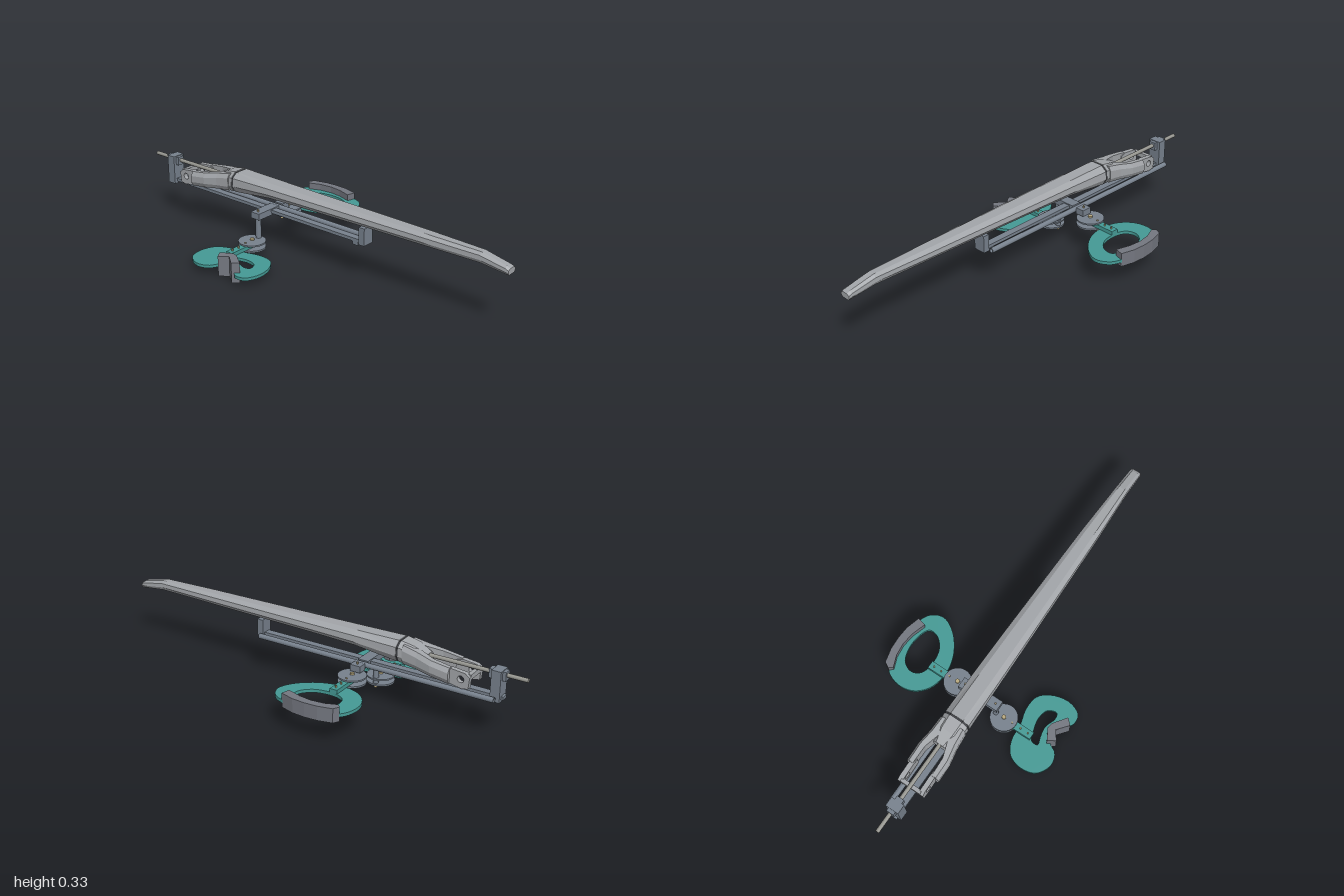
import * as THREE from 'three';

const mat = (name, color) => {
  const m = new THREE.MeshStandardMaterial({ color });
  m.name = name;
  return m;
};

export function createModel() {
  const shell = mat('light grey shell', 0xa2a5a9);
  const steel = mat('blue grey steel', 0x77818d);
  const teal = mat('teal plate', 0x459a95);
  const brass = mat('brass', 0xb9aa80);
  const padGrey = mat('dark grey pad', 0x747780);
  const rodGrey = mat('warm grey rod', 0x969690);
  const dark = mat('dark seam', 0x3c3e42);

  const model = new THREE.Group();
  model.name = 'model';
  const C = -0.027; // centre line of the long body
  const Z = -0.26;  // line of the side arms

  const add = (name, geo, material, x = 0, y = 0, z = 0) => {
    const m = new THREE.Mesh(geo, material);
    m.name = name;
    m.position.set(x, y, z);
    model.add(m);
    return m;
  };
  // box given by its limits
  const box = (name, material, x0, x1, y0, y1, z0, z1) =>
    add(name, new THREE.BoxGeometry(x1 - x0, y1 - y0, z1 - z0), material,
      (x0 + x1) / 2, (y0 + y1) / 2, (z0 + z1) / 2);
  const post = (name, material, x, z, r, y0, y1, n = 16) =>
    add(name, new THREE.CylinderGeometry(r, r, y1 - y0, n), material, x, (y0 + y1) / 2, z);

  // loft through counter-clockwise sections, ordered from front to back
  const loft = (stations) => {
    const n = stations[0].pts.length, pos = [], idx = [];
    stations.forEach(s => s.pts.forEach(p => pos.push(p[0], p[1], s.z)));
    for (let i = 0; i < stations.length - 1; i++) for (let j = 0; j < n; j++) {
      const a = i * n + j, b = i * n + (j + 1) % n;
      idx.push(a, a + n, b, b, a + n, b + n);
    }
    const last = (stations.length - 1) * n;
    for (let j = 1; j < n - 1; j++) idx.push(0, j, j + 1, last, last + j + 1, last + j);
    let g = new THREE.BufferGeometry();
    g.setAttribute('position', new THREE.Float32BufferAttribute(pos, 3));
    g.setIndex(idx);
    g = g.toNonIndexed();
    g.computeVertexNormals();
    return g;
  };
  // arched section: half width w, bottom b, top t
  const arch = ([z, w, b, t]) => {
    const h = t - b;
    const half = [[0.75 * w, b], [w, b + 0.3 * h], [0.95 * w, b + 0.7 * h], [0.5 * w, t - 0.06 * h]];
    return { z, pts: [...half, ...half.slice().reverse().map(p => [-p[0], p[1]])] };
  };

  // long tapering body
  add('longBody', loft([
    [1, 0.026, 0.26, 0.288], [0.985, 0.027, 0.262, 0.297], [0.87, 0.029, 0.275, 0.322],
    [0.6, 0.041, 0.275, 0.326], [0, 0.056, 0.27, 0.331], [-0.22, 0.06, 0.265, 0.334],
    [-0.43, 0.062, 0.243, 0.339]].map(arch)), shell, C);
  add('bodySeam', loft([[-0.43, 0.06, 0.246, 0.336], [-0.44, 0.06, 0.246, 0.336]].map(arch)), dark, C);
  add('rearBody', loft([[-0.44, 0.062, 0.243, 0.34], [-0.5, 0.058, 0.24, 0.328],
    [-0.56, 0.035, 0.24, 0.3]].map(arch)), shell, C);

  // rear fork: two flared arms, each ending in a pierced lug
  const lug = new THREE.Shape([[0.66, 0.222], [0.74, 0.207], [0.77, 0.212], [0.775, 0.262],
    [0.755, 0.278], [0.69, 0.285], [0.66, 0.275]].map(p => new THREE.Vector2(...p)));
  lug.holes.push(new THREE.Path().absarc(0.735, 0.248, 0.015, 0, Math.PI * 2, true));
  for (const s of [1, -1]) {
    const arm = [[-0.46, 0.02, 0.063, 0.243, 0.325], [-0.53, 0.022, 0.068, 0.236, 0.312],
      [-0.6, 0.045, 0.08, 0.228, 0.298], [-0.685, 0.048, 0.08, 0.216, 0.286]];
    add(s > 0 ? 'leftForkArm' : 'rightForkArm', loft(arm.map(([z, i, o, b, t]) => {
      const pts = [[i, b], [o - 0.01, b], [o, b + 0.02], [o, t - 0.02], [o - 0.012, t], [i, t]]
        .map(p => [s * p[0], p[1]]);
      return { z, pts: s > 0 ? pts : pts.reverse() };
    })), shell, C);
    const g = new THREE.ExtrudeGeometry(lug, { depth: 0.022, bevelEnabled: false });
    g.rotateY(Math.PI / 2);
    add(s > 0 ? 'leftForkLug' : 'rightForkLug', g, shell, C + (s > 0 ? 0.042 : -0.064));
  }
  box('forkBridge', shell, C - 0.05, C + 0.05, 0.25, 0.272, -0.775, -0.757);

  // thin rod at the rear
  const rod = new THREE.CylinderGeometry(0.009, 0.009, 0.45, 16).rotateX(Math.PI / 2);
  add('rearRod', rod, rodGrey, C, 0.287, -0.775);

  // rail under the body with its end brackets
  box('rail', steel, C - 0.017, C + 0.017, 0.18, 0.195, -0.905, 0.3);
  const ring = new THREE.Shape().absarc(0, 0, 0.012, 0, Math.PI * 2);
  ring.holes.push(new THREE.Path().absarc(0, 0, 0.009, 0, Math.PI * 2, true));
  add('railTube', new THREE.ExtrudeGeometry(ring, { depth: 1.16, bevelEnabled: false, curveSegments: 16 }),
    steel, 0.021, 0.187, -0.88);
  box('frontBracket', steel, -0.055, 0.003, 0.178, 0.258, 0.275, 0.305);
  box('frontBracketFoot', steel, -0.045, -0.008, 0.166, 0.18, 0.235, 0.265);
  box('rearBracket', steel, -0.058, 0.005, 0.17, 0.308, -0.895, -0.852);
  box('rearBracketCap', steel, -0.045, -0.01, 0.265, 0.305, -0.91, -0.835);

  // cross bar, split to let the tube pass
  box('crossBar', steel, -0.125, 0.009, 0.17, 0.2, -0.285, -0.235);
  box('crossBarEnd', steel, 0.033, 0.075, 0.17, 0.2, -0.285, -0.235);

  // flat plate lying in x and z, from closed smooth outlines
  const outline = (pts) => new THREE.CatmullRomCurve3(
    pts.map(p => new THREE.Vector3(p[0], p[1], 0)), true).getPoints(56).slice(0, -1)
    .map(p => new THREE.Vector2(p.x, p.y));
  const plate = (name, material, shape, y0, y1) => {
    const g = new THREE.ExtrudeGeometry(shape, { depth: y1 - y0, bevelEnabled: false });
    g.rotateX(Math.PI / 2);
    return add(name, g, material, 0, y1, 0);
  };

  // side arms: post, hinge discs, tongue and bolts
  const sideArm = (side, s, y, px, dx) => {
    post(side + 'Post', steel, s * px, Z, 0.013, y, 0.2);
    post(side + 'LowerDisc', steel, s * dx, Z, 0.063, y, y + 0.008, 40);
    post(side + 'UpperDisc', steel, s * dx, Z, 0.063, y + 0.027, y + 0.034, 40);
    const x0 = s * (dx - 0.018), x1 = s * (dx + 0.148);
    box(side + 'Tongue', teal, Math.min(x0, x1), Math.max(x0, x1), y + 0.008, y + 0.026, Z - 0.018, Z + 0.018);
    const bolts = [[px, 0.21], [dx, y + 0.042], [dx + 0.044, y + 0.038],
      [dx + 0.088, y + 0.036], [dx + 0.126, y + 0.036]];
    bolts.forEach(([bx, top], i) => {
      post(side + 'Bolt', brass, s * bx, Z, 0.004, y - 0.01, top, 10);
      post(side + 'BoltHead', brass, s * bx, Z, 0.008, y - 0.014, y - 0.007, 12);
      if (i === 1) post(side + 'BoltKnob', brass, s * bx, Z, 0.01, top - 0.006, top + 0.001, 12);
    });
  };
  sideArm('left', 1, 0.132, 0.055, 0.097);
  sideArm('right', -1, 0.04, 0.104, 0.147);

  // left handle: open oval plate
  const oval = new THREE.Shape(outline([[0.168, -0.25], [0.185, -0.34], [0.235, -0.395], [0.3, -0.412],
    [0.375, -0.39], [0.415, -0.33], [0.428, -0.25], [0.42, -0.16], [0.39, -0.07], [0.33, -0.04],
    [0.255, -0.075], [0.19, -0.16]]));
  oval.holes.push(new THREE.Path(outline([[0.245, -0.27], [0.265, -0.315], [0.305, -0.33], [0.35, -0.305],
    [0.372, -0.24], [0.368, -0.17], [0.345, -0.125], [0.3, -0.13], [0.255, -0.18]])));
  plate('leftHandle', teal, oval, 0.125, 0.14);

  // right handle: bean-shaped plate
  const bean = new THREE.Shape(outline([[-0.435, -0.32], [-0.4, -0.385], [-0.33, -0.403], [-0.262, -0.38],
    [-0.228, -0.32], [-0.222, -0.245], [-0.202, -0.165], [-0.212, -0.09], [-0.27, -0.045], [-0.35, -0.032],
    [-0.41, -0.06], [-0.415, -0.11], [-0.38, -0.145], [-0.36, -0.19], [-0.375, -0.235], [-0.42, -0.265]]));
  bean.holes.push(new THREE.Path(outline([[-0.335, -0.275], [-0.305, -0.275], [-0.285, -0.23], [-0.272, -0.17],
    [-0.285, -0.12], [-0.325, -0.105], [-0.335, -0.13], [-0.318, -0.19], [-0.325, -0.235]])));
  plate('rightHandle', teal, bean, 0.033, 0.047);

  // grip pads
  const poly = (pts) => new THREE.Shape(pts.map(p => new THREE.Vector2(...p)));
  plate('leftPad', padGrey, poly([[0.385, -0.38], [0.412, -0.365], [0.428, -0.3], [0.432, -0.24],
    [0.428, -0.18], [0.41, -0.115], [0.37, -0.125], [0.39, -0.19], [0.397, -0.25], [0.39, -0.31],
    [0.368, -0.365]]), 0.105, 0.17);
  plate('rightPad', padGrey, poly([[-0.4, -0.225], [-0.365, -0.248], [-0.335, -0.195], [-0.34, -0.17],
    [-0.385, -0.108], [-0.412, -0.133], [-0.37, -0.185]]), 0, 0.095);

  return model;
}
